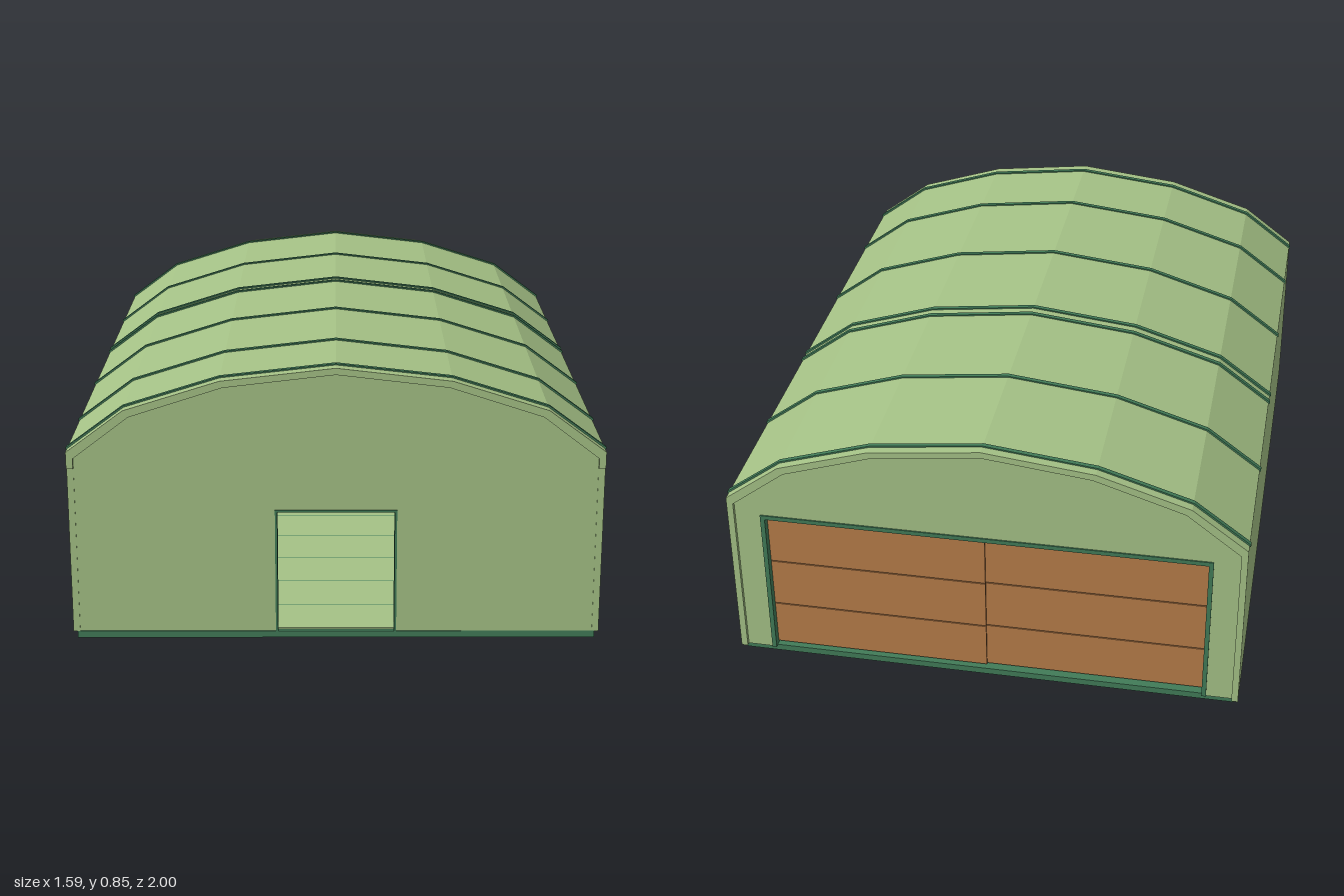
import * as THREE from 'three';

const mat = (name, color) => {
  const m = new THREE.MeshStandardMaterial({ color });
  m.name = name;
  return m;
};

// Half of the faceted roof line, from the eave to the ridge
const HALF = [[0.79, 0.59], [0.62, 0.717], [0.338, 0.806]];
const RIDGE = [0, 0.845];

// Roof line from right to left, pulled inwards by a small amount
function roofLine(inset) {
  const mirrored = HALF.slice().reverse().map(([x, y]) => [-x, y]);
  return [...HALF, RIDGE, ...mirrored].map(
    ([x, y]) => new THREE.Vector2(x * (1 - inset / 0.79), y - inset));
}

// Curved band between two roof lines, whose legs drop to a given height
function bandShape(outer, inner, foot) {
  const a = roofLine(outer), b = roofLine(inner).reverse();
  const at = (p) => new THREE.Vector2(p.x, foot);
  return new THREE.Shape([at(a[0]), ...a, at(a[6]), at(b[0]), ...b, at(b[6])]);
}

export function createModel() {
  const model = new THREE.Group();
  model.name = 'hangar';
  const wall = mat('pale green', 0xa5c286);
  const trim = mat('dark green', 0x417b58);
  const brown = mat('door brown', 0xb67c49);
  const groove = mat('groove brown', 0x74502f);
  const olive = mat('olive green', 0x80a452);

  const add = (name, geometry, material, parent = model) => {
    const mesh = new THREE.Mesh(geometry, material);
    mesh.name = name;
    parent.add(mesh);
    return mesh;
  };
  // Box given by its lowest and highest corners
  const box = (name, material, x0, x1, y0, y1, z0, z1, parent) => {
    const m = add(name, new THREE.BoxGeometry(x1 - x0, y1 - y0, z1 - z0), material, parent);
    m.position.set((x0 + x1) / 2, (y0 + y1) / 2, (z0 + z1) / 2);
    return m;
  };
  const extrude = (name, shape, material, z0, z1) => {
    const g = new THREE.ExtrudeGeometry(shape, { depth: z1 - z0, bevelEnabled: false });
    g.translate(0, 0, z0);
    return add(name, g, material);
  };

  // Base slab and floor
  box('baseSlab', trim, -0.778, 0.778, 0, 0.021, -0.98, 0.99);
  box('floor', wall, -0.77, 0.77, 0.02, 0.025, -0.95, 0.975);
  for (let i = 0; i < 9; i++) {
    const z = -0.8 + i * 0.2;
    box('floorJoint', trim, -0.76, 0.76, 0.0245, 0.0255, z - 0.0015, z + 0.0015);
  }

  // Side walls and roof shell
  for (const s of [-1, 1]) {
    const x = s * 0.78;
    box('sideWall', wall, x - 0.01, x + 0.01, 0.02, 0.54, -1, 0.99);
  }
  extrude('roof', bandShape(0, 0.02, 0.54), wall, -1, 1);

  // Roof ribs
  for (const z of [0.957, 0.675, 0.277, -0.122, -0.167, -0.566, -0.963]) {
    extrude('roofRib', bandShape(-0.004, 0.005, 0.588), trim, z - 0.0075, z + 0.0075);
  }

  // End walls, each with a door opening cut from the bottom edge
  const endWall = (name, halfDoor, top, z0, z1) => {
    const line = roofLine(0.01);
    const pts = [
      [halfDoor, top], [halfDoor, 0.02], [0.78, 0.02],
      ...line.map((p) => [p.x, p.y]),
      [-0.78, 0.02], [-halfDoor, 0.02], [-halfDoor, top],
    ];
    extrude(name, new THREE.Shape(pts.map(([x, y]) => new THREE.Vector2(x, y))), wall, z0, z1);
  };
  endWall('frontWall', 0.18, 0.406, 0.955, 0.988);
  endWall('backWall', 0.69, 0.53, -0.988, -0.945);

  // Door frames
  const frame = (name, half, top, w, z0, z1) => {
    const g = new THREE.Group();
    g.name = name;
    model.add(g);
    box('leftJamb', trim, half - w, half, 0.02, top, z0, z1, g);
    box('rightJamb', trim, -half, -half + w, 0.02, top, z0, z1, g);
    box('lintel', trim, -half, half, top - w, top, z0, z1, g);
  };
  frame('frontDoorFrame', 0.181, 0.407, 0.007, 0.945, 0.99);
  frame('backDoorFrame', 0.691, 0.531, 0.014, -0.992, -0.94);

  // Back door: two leaves of three panels, the left leaf standing further out
  const rows = [0.025, 0.18, 0.345, 0.518];
  for (const s of [-1, 1]) {
    const leaf = new THREE.Group();
    leaf.name = s > 0 ? 'leftBackDoor' : 'rightBackDoor';
    model.add(leaf);
    const x0 = s > 0 ? 0 : -0.679, x1 = s > 0 ? 0.679 : 0;
    const z = s > 0 ? -0.964 : -0.957;
    box('doorCore', groove, x0, x1, 0.025, 0.518, z, -0.94, leaf);
    box('innerFace', olive, x0, x1, 0.025, 0.518, -0.94, -0.936, leaf);
    for (let i = 0; i < 3; i++) {
      box('doorPanel', brown, x0, x1, rows[i] + 0.003, rows[i + 1] - 0.003, z - 0.003, z, leaf);
    }
    // Rails on the inner face
    for (const y of [0.18, 0.345]) {
      for (const d of [-0.008, 0.008]) {
        box('innerRail', brown, x0, x1, y + d - 0.005, y + d + 0.005, -0.936, -0.93, leaf);
      }
    }
    // Bolts along the meeting edge
    box('edgeBolt', trim, s > 0 ? 0.019 : -0.036, s > 0 ? 0.036 : -0.019, 0.025, 0.5, -0.936, -0.926, leaf);
    box('boltGuide', wall, s > 0 ? 0.024 : -0.04, s > 0 ? 0.04 : -0.024, 0.07, 0.105, -0.926, -0.92, leaf);
  }

  // Lock on the inner face of the back door
  const lock = new THREE.Group();
  lock.name = 'doorLock';
  model.add(lock);
  box('centreStrip', brown, -0.02, 0.02, 0.14, 0.4, -0.936, -0.925, lock);
  box('lowerLatch', wall, -0.016, 0.016, 0.025, 0.14, -0.936, -0.924, lock);
  box('lockPlate', trim, -0.075, 0.075, 0.19, 0.36, -0.936, -0.915, lock);
  for (const s of [-1, 1]) {
    box('shackleLeg', wall, s * 0.022 - 0.006, s * 0.022 + 0.006, 0.27, 0.315, -0.915, -0.905, lock);
  }
  box('shackleTop', wall, -0.028, 0.028, 0.303, 0.315, -0.915, -0.905, lock);
  box('lockBody', brown, -0.035, 0.035, 0.222, 0.28, -0.915, -0.9, lock);
  box('keyhole', trim, -0.006, 0.006, 0.24, 0.262, -0.9, -0.897, lock);

  return model;
}
